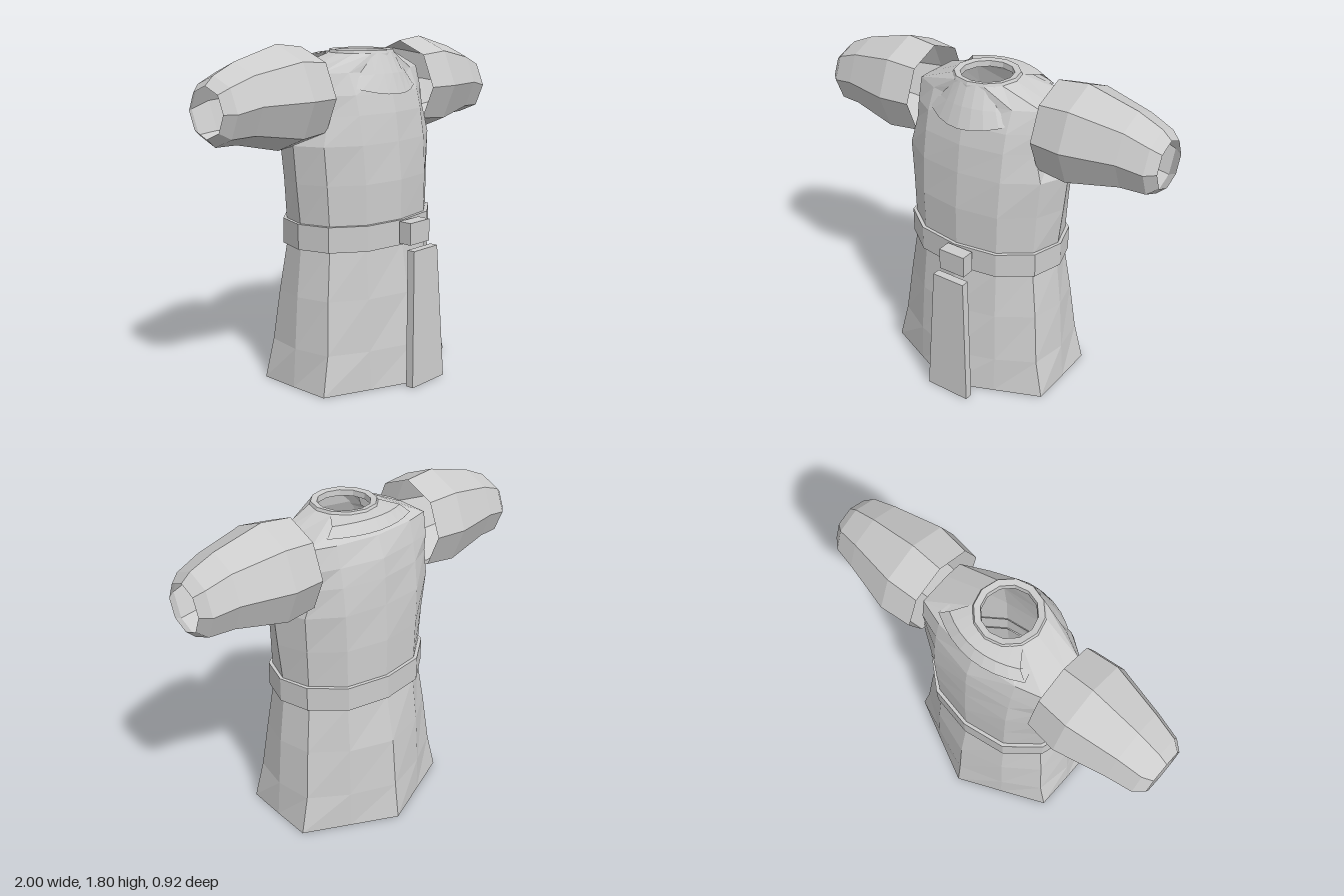
import * as THREE from 'three';

const cloth = new THREE.MeshStandardMaterial({ color: 0xcccccc, flatShading: true, side: THREE.DoubleSide });
cloth.name = 'paleGreyCloth';

// Skin a list of rows (each a list of [x, y, z]) with flat quads.
function loft(name, rows, closed = true) {
  const pos = [];
  for (let r = 0; r < rows.length - 1; r++) {
    const a = rows[r], b = rows[r + 1], n = a.length;
    for (let i = 0; i < (closed ? n : n - 1); i++) {
      const j = (i + 1) % n;
      pos.push(...a[i], ...a[j], ...b[j], ...a[i], ...b[j], ...b[i]);
    }
  }
  const g = new THREE.BufferGeometry();
  g.setAttribute('position', new THREE.Float32BufferAttribute(pos, 3));
  g.computeVertexNormals();
  const m = new THREE.Mesh(g, cloth);
  m.name = name;
  return m;
}

// Twelve-sided body section, counter-clockwise from the front centre.
function section([y, side, cx, cf, cb, mx, mf, mb, front, back], grow = 0) {
  const half = [[0, front + grow], [mx + grow * 0.5, mf + grow], [cx + grow, cf + grow * 0.5],
    [side + grow, -0.01], [cx + grow, cb - grow * 0.5], [mx + grow * 0.5, mb - grow], [0, back - grow]];
  const mirror = half.slice(1, 6).reverse().map(([x, z]) => [-x, z]);
  return [...half, ...mirror].map(([x, z]) => [x, y, z]);
}

// y, side x, corner x, corner z front/back, panel x, panel z front/back, centre z front/back
const skirtRows = [
  [0.01, 0.5, 0.498, 0.21, -0.23, 0.25, 0.315, -0.345, 0.42, -0.46],
  [0.22, 0.485, 0.45, 0.195, -0.215, 0.25, 0.305, -0.34, 0.39, -0.43],
  [0.5, 0.465, 0.42, 0.17, -0.19, 0.24, 0.29, -0.325, 0.35, -0.4],
  [0.76, 0.435, 0.385, 0.15, -0.165, 0.23, 0.265, -0.295, 0.31, -0.345],
];
const bodyRows = [
  [0.88, 0.435, 0.385, 0.15, -0.165, 0.23, 0.265, -0.295, 0.3, -0.335],
  [1.1, 0.46, 0.395, 0.145, -0.17, 0.235, 0.265, -0.295, 0.3, -0.335],
  [1.3, 0.48, 0.41, 0.14, -0.18, 0.24, 0.25, -0.29, 0.28, -0.32],
  [1.45, 0.39, 0.37, 0.13, -0.2, 0.24, 0.225, -0.27, 0.26, -0.31],
  [1.55, 0.38, 0.365, 0.12, -0.21, 0.24, 0.2, -0.25, 0.235, -0.295],
  [1.66, 0.38, 0.375, 0.08, -0.18, 0.24, 0.15, -0.22, 0.205, -0.25],
];

const neckRing = (r, y) => Array.from({ length: 12 }, (_, i) => {
  const a = i * Math.PI / 6;
  return [r * Math.sin(a), y, 0.015 + r * Math.cos(a)];
});

// Eight-sided sleeve, open at both ends.
function sleeve(name, s) {
  const rings = [[0.38, 0.245, 1.545], [0.55, 0.265, 1.545], [0.82, 0.2, 1.54],
    [0.95, 0.17, 1.513], [1, 0.125, 1.513]];
  const rows = rings.map(([x, r, cy]) => Array.from({ length: 8 }, (_, i) => {
    const a = s * i * Math.PI / 4;
    return [s * x, cy + r * Math.cos(a), -0.045 + r * Math.sin(a)];
  }));
  return loft(name, rows.reverse());
}

// Curved yoke hanging from the neck, with its lower lip tucked in.
function yoke(name, dir, lipY, lipZ, rise, bow, midZ, midY) {
  const rows = [[], [], [], []];
  for (let i = 0; i <= 8; i++) {
    const t = dir * (i / 4 - 1), a = t * 1.1;
    const x = 0.27 * t, y = lipY + rise * t * t, z = lipZ - bow * t * t;
    rows[0].push([x * 0.94, y + 0.02, dir * (z - 0.06)]);
    rows[1].push([x, y, dir * z]);
    rows[2].push([0.22 * t, midY - 0.01 * t * t, dir * (midZ - bow * 0.8 * t * t)]);
    rows[3].push([0.172 * Math.sin(a), 1.752, 0.015 + dir * 0.172 * Math.cos(a)]);
  }
  return loft(name, rows, false);
}

// Tapered hanging strip, leaning with the skirt.
function sash() {
  const g = new THREE.BoxGeometry(1, 0.735, 0.045), p = g.attributes.position;
  for (let i = 0; i < p.count; i++) {
    const top = p.getY(i) > 0;
    p.setX(i, 0.043 + p.getX(i) * (top ? 0.19 : 0.26));
    p.setZ(i, p.getZ(i) + (top ? 0.413 : 0.442));
  }
  g.translate(0, 0.378, 0);
  g.computeVertexNormals();
  const m = new THREE.Mesh(g, cloth);
  m.name = 'sash';
  return m;
}

export function createModel() {
  const model = new THREE.Group();
  model.name = 'tunic';

  // Skirt and upper body, open at the hem
  model.add(loft('skirt', skirtRows.map((r) => section(r))));
  model.add(loft('body', [section(skirtRows[3]), ...bodyRows.map((r) => section(r)), neckRing(0.177, 1.75)]));

  // Neckband
  model.add(loft('neckband', [neckRing(0.177, 1.75), neckRing(0.17, 1.765), neckRing(0.138, 1.76), neckRing(0.135, 1.73)]));
  model.add(yoke('frontYoke', 1, 1.545, 0.275, 0.05, 0.12, 0.235, 1.65));
  model.add(yoke('backYoke', -1, 1.69, 0.265, 0.0, 0.08, 0.225, 1.745));

  // Sleeves
  model.add(sleeve('leftSleeve', 1), sleeve('rightSleeve', -1));

  // Belt: inner and outer walls joined at top and bottom
  const at = (y, grow) => section([y, ...bodyRows[0].slice(1)], grow);
  model.add(loft('belt', [at(0.755, -0.005), at(0.755, 0.018), at(0.89, 0.018), at(0.89, -0.005)]));

  // Buckle and hanging sash
  const buckle = new THREE.Mesh(new THREE.BoxGeometry(0.155, 0.118, 0.075), cloth);
  buckle.name = 'buckle';
  buckle.position.set(0.04, 0.827, 0.36);
  model.add(buckle, sash());
  return model;
}
